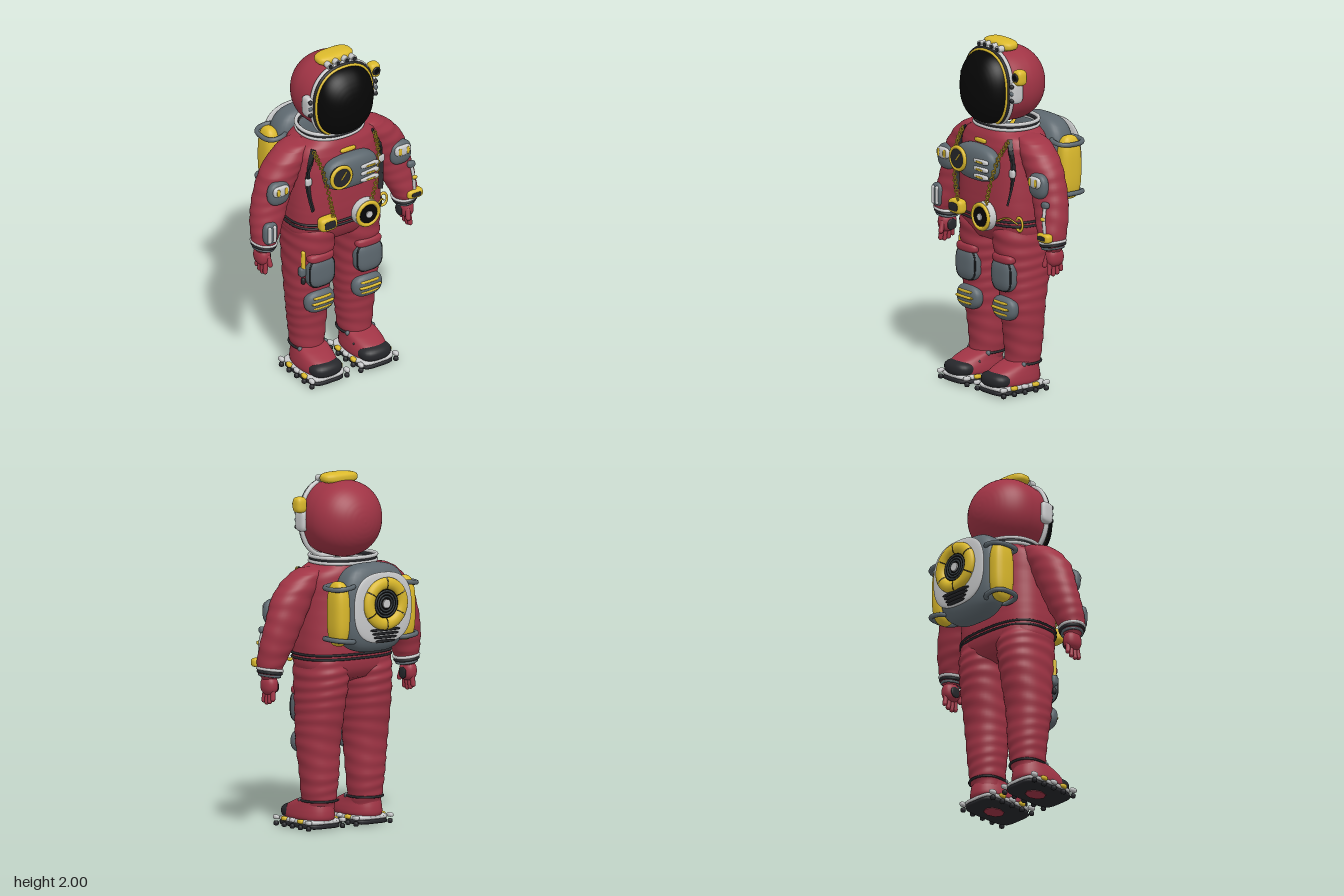
import * as THREE from 'three';
import { mergeVertices } from 'three/addons/utils/BufferGeometryUtils.js';

const PI = Math.PI;
const paint = (name, color, side = THREE.FrontSide) => new THREE.MeshStandardMaterial({ name, color, side });

// Smooth interpolation of rows [y, centreX, centreZ, radiusX, radiusZ]
function resample(rows, steps) {
  const out = [];
  for (let i = 0; i < rows.length - 1; i++) {
    const a = rows[Math.max(i - 1, 0)], b = rows[i], c = rows[i + 1], d = rows[Math.min(i + 2, rows.length - 1)];
    for (let k = 0; k < steps; k++) {
      const t = k / steps;
      out.push(b.map((v, n) => n === 0 ? v + (c[0] - v) * t
        : v + 0.5 * t * (c[n] - a[n] + t * (2 * a[n] - 5 * v + 4 * c[n] - d[n] + t * (3 * (v - c[n]) + d[n] - a[n])))));
    }
  }
  out.push(rows[rows.length - 1]);
  return out;
}
const superCos = (a, p) => Math.sign(Math.cos(a)) * Math.abs(Math.cos(a)) ** (2 / p);
const superSin = (a, p) => Math.sign(Math.sin(a)) * Math.abs(Math.sin(a)) ** (2 / p);

// Skin through horizontal superellipse sections, with optional cloth folds
function loft(rows, { p = 2, seg = 40, steps = 6, fold = 0, side = 1 } = {}) {
  const R = resample(rows, steps), pos = [], idx = [];
  R.forEach(([y, cx, cz, rx, rz], j) => {
    for (let i = 0; i < seg; i++) {
      const a = i / seg * 2 * PI;
      const f = 1 + fold * Math.sin(y * 85 + 2.2 * Math.sin(a + y * 9));
      pos.push(side * cx + superCos(a, p) * Math.max(rx, 0.0005) * f, y, cz + superSin(a, p) * Math.max(rz, 0.0005) * f);
      if (j < R.length - 1) {
        const n = (i + 1) % seg, q = j * seg;
        idx.push(q + i, q + seg + i, q + n, q + n, q + seg + i, q + seg + n);
      }
    }
  });
  const g = new THREE.BufferGeometry();
  g.setAttribute('position', new THREE.Float32BufferAttribute(pos, 3));
  g.setIndex(idx);
  g.computeVertexNormals();
  return g;
}

// Pillow: sphere squared off by exponent p, given half sizes
function pillow(w, h, d, p = 3, seg = 28) {
  let g = new THREE.SphereGeometry(1, seg, Math.round(seg * 0.7));
  g.deleteAttribute('uv'); g.deleteAttribute('normal');
  const v = new THREE.Vector3(), a = g.attributes.position;
  for (let i = 0; i < a.count; i++) {
    v.fromBufferAttribute(a, i);
    v.divideScalar((Math.abs(v.x) ** p + Math.abs(v.y) ** p + Math.abs(v.z) ** p) ** (1 / p));
    a.setXYZ(i, v.x * w, v.y * h, v.z * d);
  }
  g = mergeVertices(g, 1e-5);
  g.computeVertexNormals();
  return g;
}
// Closed tube along a superellipse in the xy plane
function hoop(rx, ry, r, p = 2) {
  const pts = Array.from({ length: 40 }, (_, i) => new THREE.Vector3(superCos(i * PI / 20, p) * rx, superSin(i * PI / 20, p) * ry, 0));
  return new THREE.TubeGeometry(new THREE.CatmullRomCurve3(pts, true), 64, r, 8, true);
}
const path = pts => new THREE.CatmullRomCurve3(pts.map(q => new THREE.Vector3(...q)));
const cord = (pts, r) => new THREE.TubeGeometry(path(pts), 24, r, 8);
const disc = (r, h, seg = 32) => new THREE.CylinderGeometry(r, r, h, seg).rotateX(PI / 2);
const flat = g => g.rotateX(PI / 2);

const torsoRows = [[0.83, 0, 0.07, 0.1, 0.06], [0.86, 0, 0.07, 0.24, 0.14], [0.92, 0, 0.07, 0.285, 0.175], [0.99, 0, 0.078, 0.288, 0.188],
  [1.12, 0, 0.08, 0.285, 0.19], [1.3, 0, 0.08, 0.275, 0.184], [1.41, 0, 0.075, 0.27, 0.175], [1.46, 0, 0.07, 0.245, 0.168], [1.5, 0, 0.067, 0.18, 0.155], [1.53, 0, 0.065, 0.17, 0.14]];
const armRows = [[0.87, 0.478, 0.108, 0.04, 0.045], [0.9, 0.476, 0.11, 0.06, 0.065], [0.95, 0.468, 0.11, 0.076, 0.08], [1.05, 0.44, 0.092, 0.1, 0.088], [1.18, 0.4, 0.076, 0.114, 0.093],
  [1.32, 0.345, 0.075, 0.124, 0.1], [1.4, 0.29, 0.072, 0.118, 0.1], [1.45, 0.245, 0.07, 0.1, 0.09], [1.475, 0.22, 0.07, 0.07, 0.07], [1.488, 0.2, 0.07, 0.002, 0.002]];
const legRows = [[0.12, 0.16, 0.08, 0.085, 0.09], [0.18, 0.16, 0.075, 0.095, 0.1], [0.3, 0.16, 0.072, 0.107, 0.11], [0.5, 0.163, 0.078, 0.122, 0.128],
  [0.7, 0.158, 0.068, 0.131, 0.153], [0.84, 0.15, 0.068, 0.138, 0.173], [0.92, 0.146, 0.07, 0.14, 0.175], [1, 0.14, 0.07, 0.13, 0.16]];
const shoeRows = [[0.045, 0.165, 0.155, 0.1, 0.165], [0.07, 0.165, 0.155, 0.108, 0.174], [0.1, 0.165, 0.152, 0.106, 0.17], [0.13, 0.165, 0.14, 0.1, 0.152], [0.155, 0.163, 0.115, 0.095, 0.12], [0.18, 0.16, 0.08, 0.088, 0.085]];
// Front surface of the torso, for laying straps on it
const torsoFront = (x, y) => {
  const i = Math.max(1, torsoRows.findIndex(r => r[0] >= y)), a = torsoRows[i - 1], b = torsoRows[i], t = (y - a[0]) / (b[0] - a[0]);
  const m = n => a[n] + (b[n] - a[n]) * t;
  return m(2) + m(4) * Math.max(0, 1 - (Math.abs(x) / m(3)) ** 3) ** (1 / 3);
};

export function createModel() {
  const root = new THREE.Group();
  const red = paint('suit red', 0xa03445), grey = paint('slate grey', 0x5d686f), yellow = paint('yellow', 0xdcba2c),
    white = paint('pale grey', 0xc9cacb), black = paint('visor black', 0x060606), dark = paint('rubber black', 0x26272b);
  const add = (name, geo, mat, x = 0, y = 0, z = 0, rx = 0, ry = 0, rz = 0) => {
    const m = new THREE.Mesh(geo, mat);
    m.name = name; m.position.set(x, y, z); m.rotation.set(rx, ry, rz);
    root.add(m);
    return m;
  };

  // Body and belt
  add('torso', loft(torsoRows, { p: 2.7, seg: 64, fold: 0.003 }), red);
  for (const y of [0.972, 0.996]) add('belt', flat(hoop(0.29, 0.19, 0.007, 2.7)), dark, 0, y, 0.078);

  // Helmet shell, neck rings, visor and its frame
  const shell = [];
  for (let i = 0; i <= 10; i++) {
    const a = i / 10 * PI / 2;
    shell.push([0.055 - 0.202 * Math.cos(a), 0, 0, 0.22 * Math.sin(a), 0.215 * Math.sin(a)]);
  }
  shell.push([0.12, 0, 0, 0.215, 0.214], [0.19, 0, 0, 0.196, 0.212]);
  add('helmet', flat(loft(shell, { p: 2.1, seg: 56, steps: 3 })), red, 0, 1.742, 0);
  const dome = [];
  for (let i = 0; i <= 10; i++) {
    const a = i / 10 * PI / 2;
    dome.push([0.14 * Math.sin(a), 0, 0, 0.186 * Math.cos(a), 0.21 * Math.cos(a)]);
  }
  add('visor', flat(loft(dome, { p: 2.35, seg: 56, steps: 3 })), black, 0, 1.732, 0.195);
  add('visorFrame', hoop(0.199, 0.218, 0.014, 2.35), white, 0, 1.735, 0.185);
  add('visorSeal', hoop(0.197, 0.217, 0.009, 2.35), dark, 0, 1.735, 0.202);
  add('visorRim', hoop(0.187, 0.211, 0.009, 2.35), yellow, 0, 1.732, 0.21);
  add('neckRing', flat(hoop(0.192, 0.163, 0.011, 2.2)), white, 0, 1.537, 0.065);
  add('neckSeal', flat(hoop(0.186, 0.158, 0.011, 2.2)), dark, 0, 1.522, 0.065);
  add('neckRing', flat(hoop(0.192, 0.163, 0.01, 2.2)), white, 0, 1.507, 0.065);

  // Helmet top pad, lamps, ear pods and side torch
  add('topPad', pillow(0.115, 0.032, 0.06, 3), yellow, 0, 1.968, 0.105);
  for (const x of [-0.08, -0.03, 0.03, 0.08]) {
    add('topLamp', disc(0.019, 0.04, 20), white, x, 1.97 - Math.abs(x) * 0.12, 0.175);
    add('topLampLens', disc(0.012, 0.006, 20), dark, x, 1.97 - Math.abs(x) * 0.12, 0.196);
  }
  for (const s of [-1, 1]) {
    add('earPod', pillow(0.024, 0.062, 0.04, 4), white, s * 0.212, 1.735, 0.165);
    for (const y of [1.695, 1.735, 1.775]) add('earBolt', pillow(0.013, 0.014, 0.014, 2, 12), y === 1.735 ? grey : dark, s * 0.22, y, 0.2);
  }
  add('torch', pillow(0.034, 0.045, 0.034, 3.5), yellow, 0.234, 1.825, 0.155);
  add('torchRim', new THREE.TorusGeometry(0.02, 0.006, 8, 24), dark, 0.234, 1.828, 0.188);
  add('torchLens', disc(0.017, 0.008, 20), black, 0.234, 1.828, 0.188);

  // Backpack with fan ring, grille and vents
  add('backpack', pillow(0.215, 0.25, 0.1, 3.2, 44), grey, 0, 1.27, -0.192);
  add('backPlate', pillow(0.198, 0.2, 0.017, 2.6, 40), white, 0, 1.28, -0.31);
  for (let i = 0; i < 6; i++) {
    const seg = add('fanRing', new THREE.TorusGeometry(0.115, 0.034, 14, 14, PI / 3 - 0.03), yellow, 0, 1.305, -0.338, 0, 0, i * PI / 3 + 0.015 + PI / 6);
    seg.scale.z = 0.7;
  }
  add('fanRingSeam', new THREE.TorusGeometry(0.115, 0.02, 10, 40), dark, 0, 1.305, -0.335);
  add('fanGrille', disc(0.095, 0.03), black, 0, 1.305, -0.326);
  for (const r of [0.04, 0.056, 0.072]) add('grilleRing', new THREE.TorusGeometry(r, 0.004, 6, 40), grey, 0, 1.305, -0.342);
  add('fanHub', disc(0.025, 0.02), white, 0, 1.305, -0.34);
  for (let i = 0; i < 4; i++) add('vent', pillow(0.1 - i * 0.012, 0.007, 0.012, 4, 16), dark, 0, 1.158 - i * 0.021, -0.334);

  // Chest panel, gauge and switches
  add('chestPanel', pillow(0.172, 0.103, 0.06, 2.8, 36), grey, 0, 1.31, 0.268);
  add('gaugeRim', new THREE.TorusGeometry(0.064, 0.011, 10, 36), yellow, -0.1, 1.318, 0.332);
  add('gaugeFace', disc(0.063, 0.03), dark, -0.1, 1.318, 0.324);
  add('gaugeNeedle', new THREE.BoxGeometry(0.006, 0.055, 0.005), yellow, -0.088, 1.328, 0.341, 0, 0, -0.7);
  for (const y of [1.337, 1.293, 1.25]) {
    add('switchBar', pillow(0.062, 0.013, 0.014, 4, 16), white, 0.096, y, 0.322);
    add('switchInset', pillow(0.03, 0.005, 0.004, 4, 12), yellow, 0.096, y, 0.336);
  }
  add('collarTag', pillow(0.05, 0.012, 0.01, 4, 16), yellow, 0, 1.43, 0.25);

  // Belt gadgets
  add('reel', disc(0.083, 0.045, 40), white, 0.09, 1.018, 0.295);
  add('reelRim', new THREE.TorusGeometry(0.069, 0.012, 10, 40), yellow, 0.09, 1.018, 0.319);
  add('reelFace', disc(0.056, 0.01), black, 0.09, 1.018, 0.321);
  add('reelHub', disc(0.02, 0.012), white, 0.09, 1.018, 0.326);
  add('beltBox', pillow(0.056, 0.042, 0.032, 4), yellow, -0.163, 1.022, 0.285);
  add('beltBoxWindow', pillow(0.037, 0.024, 0.005, 4), dark, -0.163, 1.022, 0.316);
  add('hook', new THREE.TorusGeometry(0.028, 0.007, 8, 28), yellow, 0.275, 0.99, 0.19).scale.y = 1.35;
  add('hookBar', cord([[0.17, 1.0, 0.27], [0.23, 1.025, 0.24], [0.275, 0.99, 0.2]], 0.005), yellow);

  for (const s of [-1, 1]) {
    // Harness: dark webbing with buckle, and a chain of small links
    const web = [1.465, 1.4, 1.3, 1.2, 1.1].map((y, i) => {
      const x = [0.2, 0.228, 0.245, 0.243, 0.228][i];
      return [s * x, y, torsoFront(x, y) + 0.008];
    });
    const wp = path(web);
    for (let i = 0; i < 14; i++) {
      const a = wp.getPoint(i / 14), b = wp.getPoint((i + 1) / 14);
      const piece = add('webbing', new THREE.BoxGeometry(0.028, 0.012, a.distanceTo(b) * 1.15), dark);
      piece.position.copy(a).lerp(b, 0.5);
      piece.lookAt(b);
    }
    add('buckle', pillow(0.02, 0.024, 0.012, 4, 16), white, s * 0.245, 1.28, torsoFront(0.245, 1.28) + 0.014);
    const endX = s < 0 ? -0.135 : 0.115;
    const chain = path([[s * 0.205, 1.455, 0.215], [s * 0.19, 1.37, 0.27], [(s * 0.19 + endX) / 2, 1.2, 0.305], [endX, 1.07, 0.305]]);
    for (let i = 0; i <= 26; i++) {
      const c = chain.getPoint(i / 26);
      add('chainLink', new THREE.TorusGeometry(0.01, 0.004, 6, 10), yellow, c.x, c.y, c.z, 0, i % 2 ? 0.9 : -0.4, 0);
    }

    // Backpack tank and its hoops
    add('sideTank', pillow(0.05, 0.183, 0.07, 3), yellow, s * 0.228, 1.25, -0.2);
    for (const y of [1.4, 1.1]) add('tankHoop', flat(hoop(0.068, 0.085, 0.014, 2.6)), grey, s * 0.218, y, -0.195, 0, 0, s * (y > 1.2 ? -0.12 : 0.12));

    // Arm, cuffs and shoulder pad
    add('arm', loft(armRows, { p: 2.1, steps: 10, fold: 0.016, side: s }), red);
    add('cuffRing', flat(hoop(0.068, 0.073, 0.009)), white, s * 0.474, 0.922, 0.11, 0, 0, s * 0.15);
    add('cuffSeal', flat(hoop(0.064, 0.068, 0.009)), dark, s * 0.475, 0.905, 0.11, 0, 0, s * 0.15);
    add('cuffRing', flat(hoop(0.056, 0.06, 0.008)), grey, s * 0.476, 0.888, 0.11, 0, 0, s * 0.15);
    add('armPad', pillow(0.07, 0.073, 0.035, 2.6), grey, s * 0.41, 1.238, 0.16);
    add('armPadPatch', pillow(0.052, 0.032, 0.016, 3), white, s * 0.41, 1.262, 0.19);
    for (const k of [-1, 1]) add('armPadTab', pillow(0.01, 0.022, 0.005, 4, 12), yellow, s * 0.41 + k * 0.026, 1.262, 0.204);

    // Glove
    add('palm', pillow(0.042, 0.055, 0.055, 2.4), red, s * 0.482, 0.835, 0.105);
    add('palmPad', pillow(0.008, 0.032, 0.032, 2.4, 16), dark, s * 0.442, 0.825, 0.102);
    for (let i = 0; i < 4; i++) {
      const z = 0.066 + i * 0.026, len = [0.045, 0.06, 0.066, 0.058][i];
      add('finger', new THREE.CapsuleGeometry(0.014, len, 4, 10), red, s * 0.486, 0.792 - len / 2 + 0.012, z, (1.5 - i) * 0.07, 0, s * 0.08);
    }
    add('thumb', new THREE.CapsuleGeometry(0.015, 0.05, 4, 10), red, s * 0.468, 0.815, 0.155, -0.3, 0, s * -0.1);

    // Leg, thigh and knee pads
    add('leg', loft(legRows, { p: 2.2, steps: 14, fold: 0.018, side: s }), red);
    add('thighFlap', pillow(0.085, 0.03, 0.04, 3), red, s * 0.16, 0.775, 0.207);
    add('thighPad', pillow(0.088, 0.095, 0.045, 3.2), grey, s * 0.16, 0.68, 0.205);
    add('thighPadBorder', hoop(0.083, 0.089, 0.005, 3.2), dark, s * 0.16, 0.68, 0.228);
    add('kneePad', pillow(0.096, 0.07, 0.045, 2.5), grey, s * 0.16, 0.487, 0.198);
    for (const k of [-1, 0, 1]) add('kneeStripe', pillow(k ? 0.06 : 0.072, 0.008, 0.012, 4, 16), yellow, s * 0.16, 0.49 + k * 0.032, k ? 0.231 : 0.239);

    // Shoe, toe cap and ankle straps
    add('shoe', loft(shoeRows, { p: 2.3, side: s }), red);
    add('toeCap', pillow(0.098, 0.046, 0.072, 2.5), dark, s * 0.165, 0.085, 0.265);
    add('ankleStrap', flat(hoop(0.096, 0.102, 0.007, 2.2)), dark, s * 0.16, 0.163, 0.076);
    for (const k of [-1, 1]) {
      add('ankleBolt', pillow(0.014, 0.014, 0.014, 2, 12), grey, s * 0.16 + k * 0.085, 0.163, 0.135);
      add('shoeBolt', pillow(0.01, 0.01, 0.01, 2, 12), dark, s * 0.16 + k * 0.084, 0.125, 0.2);
    }

    // Sole plate with side clips and studs
    add('soleEdge', pillow(0.118, 0.014, 0.172, 5), white, s * 0.165, 0.045, 0.155);
    add('sole', pillow(0.114, 0.016, 0.174, 5), dark, s * 0.165, 0.022, 0.155);
    add('solePatch', new THREE.CylinderGeometry(0.05, 0.05, 0.006, 8), red, s * 0.165, 0.005, 0.13).scale.z = 1.3;
    for (const k of [-1, 1]) for (let i = 0; i < 5; i++) {
      const x = s * 0.165 + k * 0.118, z = 0.005 + i * 0.076;
      add('stud', pillow(0.014, 0.014, 0.014, 3, 12), dark, x, 0.016, z);
      add('soleClip', pillow(0.014, 0.012, 0.022, 4, 12), i % 2 ? yellow : white, x, 0.05, z);
    }
  }

  // Right forearm rods and left forearm gadgets
  add('forearmPad', pillow(0.045, 0.068, 0.025, 3), grey, -0.475, 1.005, 0.175);
  for (const x of [-0.492, -0.458]) add('forearmRod', new THREE.CapsuleGeometry(0.011, 0.085, 4, 10), white, x, 1.005, 0.197);
  add('wristBox', pillow(0.05, 0.026, 0.026, 4), yellow, 0.492, 0.957, 0.182);
  add('wristScreen', pillow(0.03, 0.013, 0.004, 4), dark, 0.492, 0.957, 0.208);
  add('wristRod', cord([[0.492, 0.98, 0.182], [0.487, 1.06, 0.185], [0.48, 1.13, 0.172]], 0.01), white);
  add('wristRodTip', pillow(0.024, 0.018, 0.016, 4, 16), grey, 0.48, 1.14, 0.168);
  add('wristRodTab', pillow(0.014, 0.01, 0.01, 4, 12), yellow, 0.488, 1.065, 0.195);

  // Baton on the right thigh
  add('baton', new THREE.CapsuleGeometry(0.013, 0.12, 4, 12), yellow, -0.258, 0.75, 0.185);
  add('batonClip', pillow(0.02, 0.03, 0.02, 4, 16), grey, -0.262, 0.69, 0.18);
  add('batonTip', pillow(0.012, 0.02, 0.012, 3, 12), dark, -0.258, 0.63, 0.185);
  return root;
}
